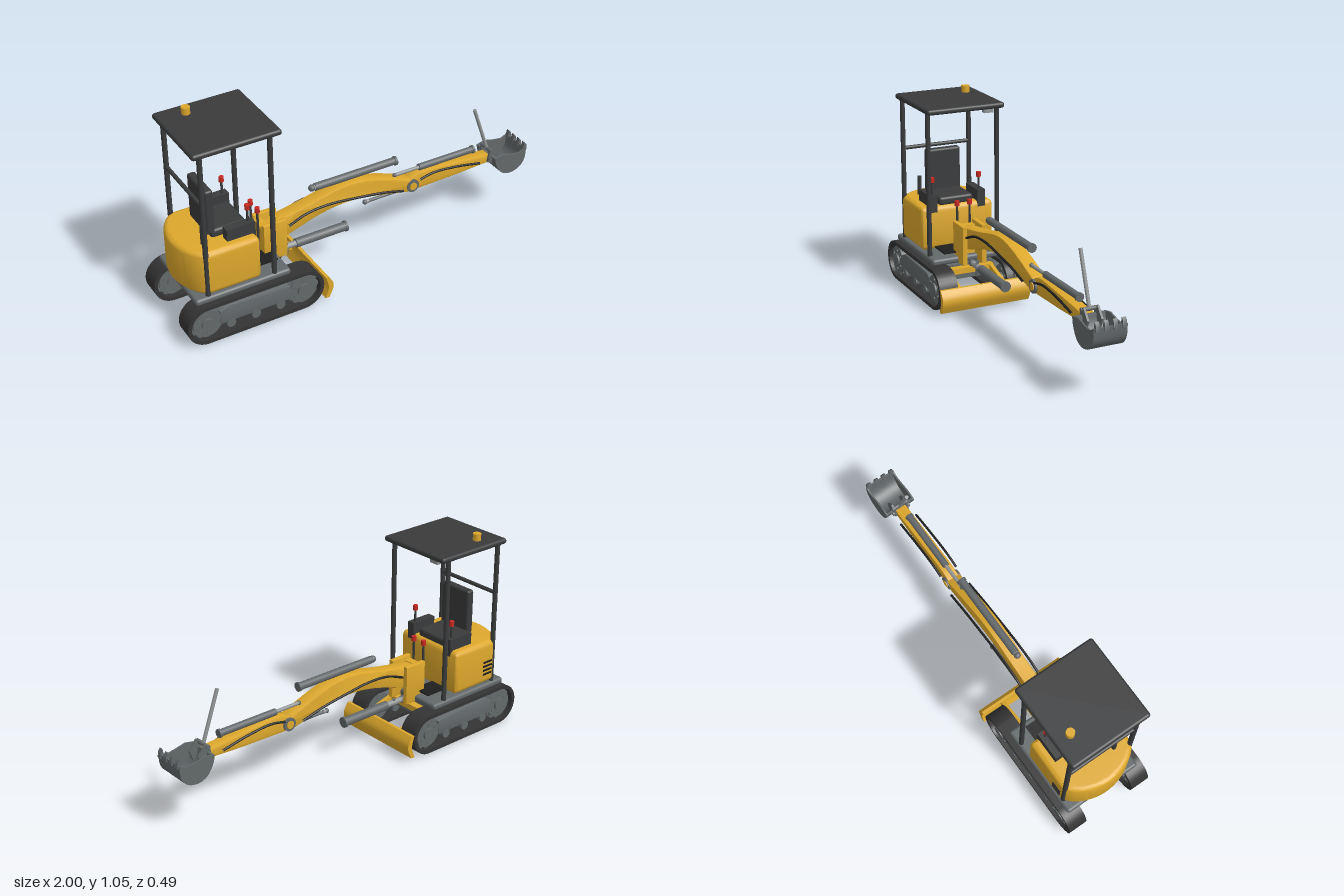
import * as THREE from 'three';
import { RoundedBoxGeometry } from 'three/addons/geometries/RoundedBoxGeometry.js';
import { toCreasedNormals } from 'three/addons/utils/BufferGeometryUtils.js';

const mat = (name, color, side = THREE.FrontSide) => {
  const m = new THREE.MeshStandardMaterial({ color, side });
  m.name = name;
  return m;
};
const V = (x, y, z = 0) => new THREE.Vector3(x, y, z);

export function createModel() {
  const model = new THREE.Group();
  model.name = 'miniExcavator';
  const yellow = mat('yellowPaint', 0xdda82c);
  const dark = mat('darkFrame', 0x3a3b3c);
  const rubber = mat('trackRubber', 0x343434);
  const grey = mat('steelGrey', 0x63686a);
  const light = mat('lightSteel', 0x929596);
  const red = mat('redKnob', 0xc92a22);
  const black = mat('blackHose', 0x1f1f1f);

  const add = (name, geometry, material, x = 0, y = 0, z = 0) => {
    const m = new THREE.Mesh(geometry, material);
    m.name = name;
    m.position.set(x, y, z);
    model.add(m);
    return m;
  };
  // Box given by its min and max corners
  const box = (name, a, b, material, r = 0) => {
    const s = b.map((v, i) => v - a[i]);
    const g = r ? new RoundedBoxGeometry(...s, 3, r) : new THREE.BoxGeometry(...s);
    return add(name, g, material, ...a.map((v, i) => (v + b[i]) / 2));
  };
  // Cylinder between two points
  const rod = (name, a, b, r, material, sides = 20) => {
    const d = b.clone().sub(a);
    const m = add(name, new THREE.CylinderGeometry(r, r, d.length(), sides), material);
    m.position.copy(a).add(b).multiplyScalar(0.5);
    m.quaternion.setFromUnitVectors(V(0, 1), d.normalize());
    return m;
  };
  // Side profile in x,y extruded across z
  const slab = (name, shape, z0, z1, material, bevel = 0) => {
    const g = new THREE.ExtrudeGeometry(shape, {
      depth: z1 - z0 - 2 * bevel, bevelEnabled: bevel > 0, bevelSize: bevel, bevelThickness: bevel,
      bevelOffset: -bevel, bevelSegments: 2, curveSegments: 16,
    });
    return add(name, toCreasedNormals(g, 0.6), material, 0, 0, z0 + bevel);
  };
  const poly = (pts) => new THREE.Shape(pts.map((p) => new THREE.Vector2(...p)));
  const spline = (pts, n) => new THREE.SplineCurve(pts.map((p) => new THREE.Vector2(...p))).getPoints(n);
  const hose = (name, pts, z) => add(name, new THREE.TubeGeometry(
    new THREE.CatmullRomCurve3(pts.map(([x, y]) => V(x, y, z))), 24, 0.006, 8), black);

  // Crawler tracks
  const loop = (P, r) => {
    const s = new P();
    s.absarc(-0.893, 0.105, r, Math.PI / 2, Math.PI * 1.5, false);
    s.absarc(-0.392, 0.105, r, -Math.PI / 2, Math.PI / 2, false);
    s.closePath();
    return s;
  };
  for (const s of [1, -1]) {
    const zc = 0.187 * s;
    const across = (name, x, y, r, half, m, sides = 24) =>
      rod(name, V(x, y, zc - half), V(x, y, zc + half), r, m, sides);
    const belt = loop(THREE.Shape, 0.105);
    belt.holes.push(loop(THREE.Path, 0.086));
    slab('trackBelt', belt, zc - 0.05, zc + 0.05, rubber);
    for (const x of [-0.893, -0.392]) {
      across('trackWheel', x, 0.105, 0.073, 0.036, grey);
      across('wheelHub', x, 0.105, 0.032, 0.046, grey);
      for (let i = 0; i < 12; i++) {
        const a = i * Math.PI / 6;
        const tooth = add('sprocketTooth', new THREE.BoxGeometry(0.02, 0.02, 0.05), grey,
          x + 0.074 * Math.cos(a), 0.105 + 0.074 * Math.sin(a), zc);
        tooth.rotation.z = a;
        if (i % 2) across('wheelBolt', x + 0.05 * Math.cos(a), 0.105 + 0.05 * Math.sin(a), 0.007, 0.041, grey, 8);
      }
    }
    slab('trackFrame', poly([[-0.83, 0.075], [-0.46, 0.075], [-0.46, 0.15], [-0.49, 0.165],
      [-0.78, 0.172], [-0.83, 0.15]]), zc - 0.04, zc + 0.04, grey, 0.008);
    for (const x of [-0.775, -0.645, -0.515]) across('trackRoller', x, 0.065, 0.023, 0.042, grey, 16);

    // Blade arms
    slab('bladeArm', poly([[-0.5, 0.14], [-0.27, 0.075], [-0.27, 0.115], [-0.46, 0.17], [-0.5, 0.17]]),
      s * 0.122 - 0.01, s * 0.122 + 0.01, yellow);
  }
  box('undercarriage', [-0.8, 0.1, -0.15], [-0.49, 0.18, 0.15], grey);
  rod('slewRing', V(-0.65, 0.17), V(-0.65, 0.21), 0.135, grey, 40);
  box('bladeCrossbar', [-0.49, 0.14, -0.135], [-0.45, 0.17, 0.135], yellow);
  slab('dozerBlade', poly([...spline([[-0.265, 0.14], [-0.243, 0.105], [-0.24, 0.07], [-0.262, 0.02]], 10),
    [-0.284, 0.02], ...spline([[-0.272, 0.05], [-0.265, 0.085], [-0.28, 0.14]], 8)]), -0.243, 0.243, yellow);

  // Platform and rounded body
  box('platform', [-0.935, 0.204, -0.207], [-0.445, 0.238, 0.207], grey, 0.014);
  const plan = new THREE.Shape();
  plan.moveTo(-0.615, -0.2);
  plan.lineTo(-0.85, -0.2);
  plan.bezierCurveTo(-0.91, -0.19, -0.96, -0.09, -0.96, 0);
  plan.bezierCurveTo(-0.96, 0.09, -0.91, 0.19, -0.85, 0.2);
  plan.lineTo(-0.615, 0.2);
  plan.quadraticCurveTo(-0.595, 0.2, -0.595, 0.18);
  plan.lineTo(-0.595, -0.18);
  plan.quadraticCurveTo(-0.595, -0.2, -0.615, -0.2);
  const bodyGeo = new THREE.ExtrudeGeometry(plan, {
    depth: 0.17, bevelSize: 0.025, bevelOffset: -0.025, bevelThickness: 0.03, bevelSegments: 5, curveSegments: 16,
  });
  bodyGeo.rotateX(-Math.PI / 2);
  add('body', toCreasedNormals(bodyGeo, 0.7), yellow, 0, 0.27, 0);
  for (let i = 0; i < 4; i++) {
    const y = 0.29 + i * 0.022;
    box('ventSlat', [-0.85, y, -0.203], [-0.79, y + 0.01, -0.196], black);
  }
  rod('exhaust', V(-0.84, 0.44, 0.11), V(-0.84, 0.57, 0.11), 0.011, dark);

  // Seat, consoles and levers
  box('seatCushion', [-0.79, 0.465, -0.095], [-0.61, 0.51, 0.095], dark, 0.015);
  box('seatBack', [-0.81, 0.49, -0.095], [-0.768, 0.725, 0.095], dark, 0.012);
  const lever = (x, z, y0, y1) => {
    rod('leverStem', V(x, y0, z), V(x, y1, z), 0.006, dark, 10);
    rod('leverKnob', V(x, y1 - 0.004, z), V(x, y1 + 0.022, z), 0.0125, red, 14);
  };
  for (const s of [1, -1]) {
    box('armConsole', [-0.74, 0.44, s * 0.134 - 0.021], [-0.595, 0.53, s * 0.134 + 0.021], dark);
    lever(-0.622, s * 0.131, 0.52, 0.598);
    lever(-0.525, s * 0.035, 0.235, 0.488);
    box('footPedal', [-0.6, 0.25, s * 0.08 - 0.05], [-0.475, 0.258, s * 0.08 + 0.05], black);

    // Canopy posts
    rod('frontPost', V(-0.525, 0.235, s * 0.19), V(-0.525, 0.99, s * 0.19), 0.0125, dark);
    rod('rearPost', V(-0.865, 0.235, s * 0.187), V(-0.865, 0.99, s * 0.187), 0.0125, dark);

    // Boom mount cheeks
    slab('boomCheek', poly([[-0.51, 0.235], [-0.45, 0.205], [-0.387, 0.205], [-0.387, 0.41], [-0.51, 0.41]]),
      s * 0.053 - 0.013, s * 0.053 + 0.013, yellow, 0.004);
  }
  rod('rearCrossbar', V(-0.865, 0.725, -0.187), V(-0.865, 0.725, 0.187), 0.01, dark);
  box('canopyRoof', [-0.907, 0.982, -0.211], [-0.47, 1.011, 0.211], dark, 0.013);
  rod('beacon', V(-0.775, 1.008, -0.13), V(-0.775, 1.046, -0.13), 0.021, yellow, 12);
  box('workLight', [-0.515, 0.962, -0.155], [-0.485, 0.985, -0.105], light);
  box('boomMount', [-0.51, 0.235, -0.045], [-0.47, 0.39, 0.045], yellow);

  // Boom
  slab('boom', poly([
    ...spline([[-0.48, 0.28], [-0.385, 0.29], [-0.2, 0.347], [-0.04, 0.368], [0.12, 0.348], [0.31, 0.305]], 30),
    [0.35, 0.31], [0.36, 0.345],
    ...spline([[0.335, 0.367], [0.13, 0.44], [0, 0.466], [-0.11, 0.457], [-0.25, 0.425], [-0.385, 0.4], [-0.48, 0.385]], 30),
  ]), -0.036, 0.036, yellow, 0.006);
  // Stick
  slab('stick', poly([[0.3, 0.315], [0.34, 0.302], [0.6, 0.308], [0.8, 0.318], [0.81, 0.34], [0.8, 0.36],
    ...spline([[0.62, 0.376], [0.45, 0.39], [0.37, 0.388], [0.31, 0.36]], 10)]), -0.03, 0.03, yellow, 0.005);
  rod('elbowPin', V(0.335, 0.335, -0.041), V(0.335, 0.335, 0.041), 0.034, grey);
  rod('elbowCap', V(0.335, 0.335, -0.045), V(0.335, 0.335, 0.045), 0.02, yellow);
  for (const s of [1, -1]) {
    hose('boomHose', [[-0.37, 0.36], [-0.27, 0.397], [-0.15, 0.406], [0, 0.39], [0.15, 0.367], [0.27, 0.337]], s * 0.054);
    hose('stickHose', [[0.37, 0.365], [0.45, 0.38], [0.58, 0.37], [0.73, 0.342]], s * 0.046);
  }

  // Hydraulic cylinders: thin rod, thick barrel, round end
  const hydraulic = (name, x0, x1, x2, y, r0, r1) => {
    rod(name + 'Rod', V(x0, y), V(x1, y), r0, light);
    rod(name + 'Barrel', V(x1, y), V(x2, y), r1, grey, 24);
    rod(name + 'Collar', V(x2 - 0.008, y), V(x2 + 0.004, y), r1 + 0.004, grey, 24);
    add(name + 'Eye', new THREE.SphereGeometry(r0 * 1.25, 16, 10), grey, x0, y, 0);
  };
  hydraulic('stickCylinder', -0.215, -0.2, 0.252, 0.491, 0.014, 0.019);
  hydraulic('bucketCylinder', 0.25, 0.39, 0.715, 0.406, 0.009, 0.017);
  hydraulic('linkCylinder', 0.08, 0.1, 0.33, 0.306, 0.01, 0.008);
  hydraulic('boomCylinder', -0.42, -0.31, -0.03, 0.203, 0.015, 0.023);
  rod('boomCylinderPin', V(-0.36, 0.158), V(-0.36, 0.22), 0.009, grey, 12);

  // Bucket: curved open shell with side plates
  const outer = [[0.8, 0.362], [0.812, 0.315], [0.845, 0.268], [0.895, 0.25], [0.95, 0.263], [0.985, 0.305], [0.992, 0.37]];
  const inner = [[0.982, 0.37], [0.974, 0.31], [0.943, 0.274], [0.895, 0.261], [0.852, 0.278], [0.823, 0.32], [0.812, 0.362]];
  slab('bucketShell', poly([...spline(outer, 24), ...spline(inner, 24)]), -0.083, 0.083, grey);
  const sideTop = [[0.95, 0.352], [0.9, 0.36], [0.85, 0.372]];
  for (const s of [1, -1]) {
    slab('bucketSide', poly([...spline(outer, 24), ...sideTop]), s * 0.079 - 0.004, s * 0.079 + 0.004, grey);
    slab('bucketEar', poly([[0.785, 0.325], [0.84, 0.3], [0.86, 0.35], [0.82, 0.4], [0.795, 0.39]]),
      s * 0.035 - 0.005, s * 0.035 + 0.005, grey);
  }
  for (let i = 0; i < 4; i++) {
    const z = -0.066 + i * 0.044;
    slab('bucketTooth', poly([[0.976, 0.355], [1, 0.355], [0.997, 0.385], [0.985, 0.4]]), z - 0.01, z + 0.01, grey);
  }
  rod('bucketPin', V(0.8, 0.345, -0.05), V(0.8, 0.345, 0.05), 0.013, grey, 14);
  rod('linkPin', V(0.805, 0.385, -0.045), V(0.805, 0.385, 0.045), 0.01, grey, 14);
  rod('bucketLink', V(0.805, 0.38), V(0.715, 0.635), 0.009, light, 14);

  return model;
}
